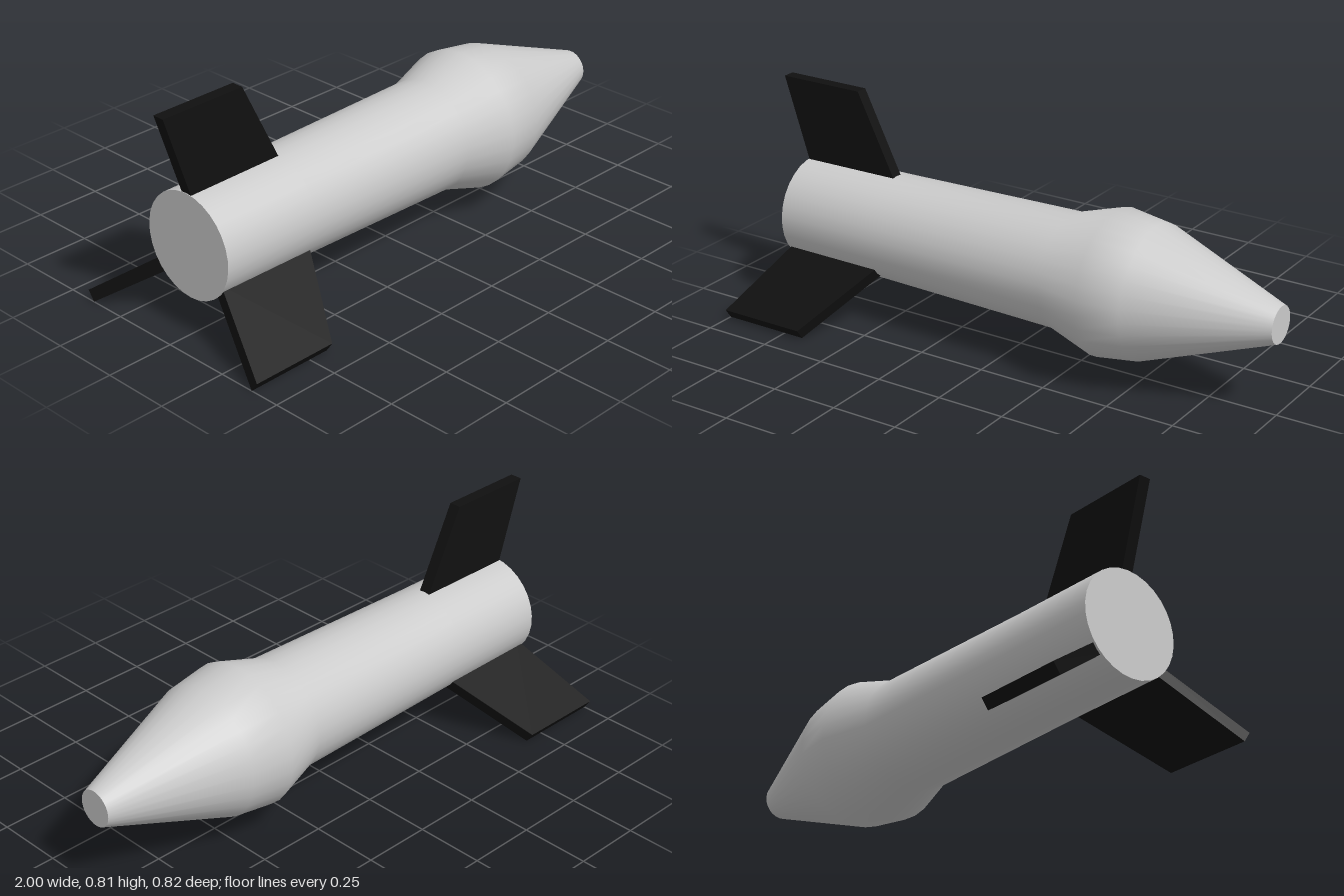
import * as THREE from 'three';

const SIDES = 30;
const AXIS_Y = 0.33;

export function createModel() {
  const rocket = new THREE.Group();
  rocket.name = 'rocket';
  const grey = new THREE.MeshStandardMaterial({ color: 0xcccccc });
  const black = new THREE.MeshStandardMaterial({ color: 0x101010 });

  const add = (name, geometry, material, y = AXIS_Y) => {
    const mesh = new THREE.Mesh(geometry, material);
    mesh.name = name;
    mesh.position.y = y;
    rocket.add(mesh);
    return mesh;
  };

  // Body: radius along the length, turned to lie along x with the nose at +x
  const profile = [
    [0.19, -0.905], [0.193, -0.52], [0.206, 0.2],
    [0.26, 0.375], [0.238, 0.53], [0.066, 1],
  ].map(([r, x]) => new THREE.Vector2(r, x));
  const hull = new THREE.LatheGeometry(profile, SIDES, Math.PI / 2);
  hull.rotateZ(-Math.PI / 2);
  add('body', hull, grey);

  // Flat discs closing the nose and the tail
  const disc = (name, { x: radius, y: x }, facing) => {
    const cap = new THREE.CircleGeometry(radius, SIDES, Math.PI / 2);
    cap.rotateY(facing * Math.PI / 2).translate(x, 0, 0);
    add(name, cap, grey);
  };
  disc('noseCap', profile[profile.length - 1], 1);
  disc('tailCap', profile[0], -1);

  // Swept fins: one upright, two splayed downwards, roots buried in the body
  const outline = new THREE.Shape([
    [-0.89, 0.15], [-0.505, 0.15], [-0.672, 0.488], [-1, 0.488],
  ].map(([x, r]) => new THREE.Vector2(x, r)));
  const thickness = 0.044;
  const fin = new THREE.ExtrudeGeometry(outline, { depth: thickness, bevelEnabled: false });
  fin.translate(0, 0, -thickness / 2);

  add('topFin', fin, black);
  for (const [name, side] of [['frontFin', 1], ['backFin', -1]]) {
    add(name, fin, black, 0.301).rotation.x = side * THREE.MathUtils.degToRad(125);
  }
  return rocket;
}
